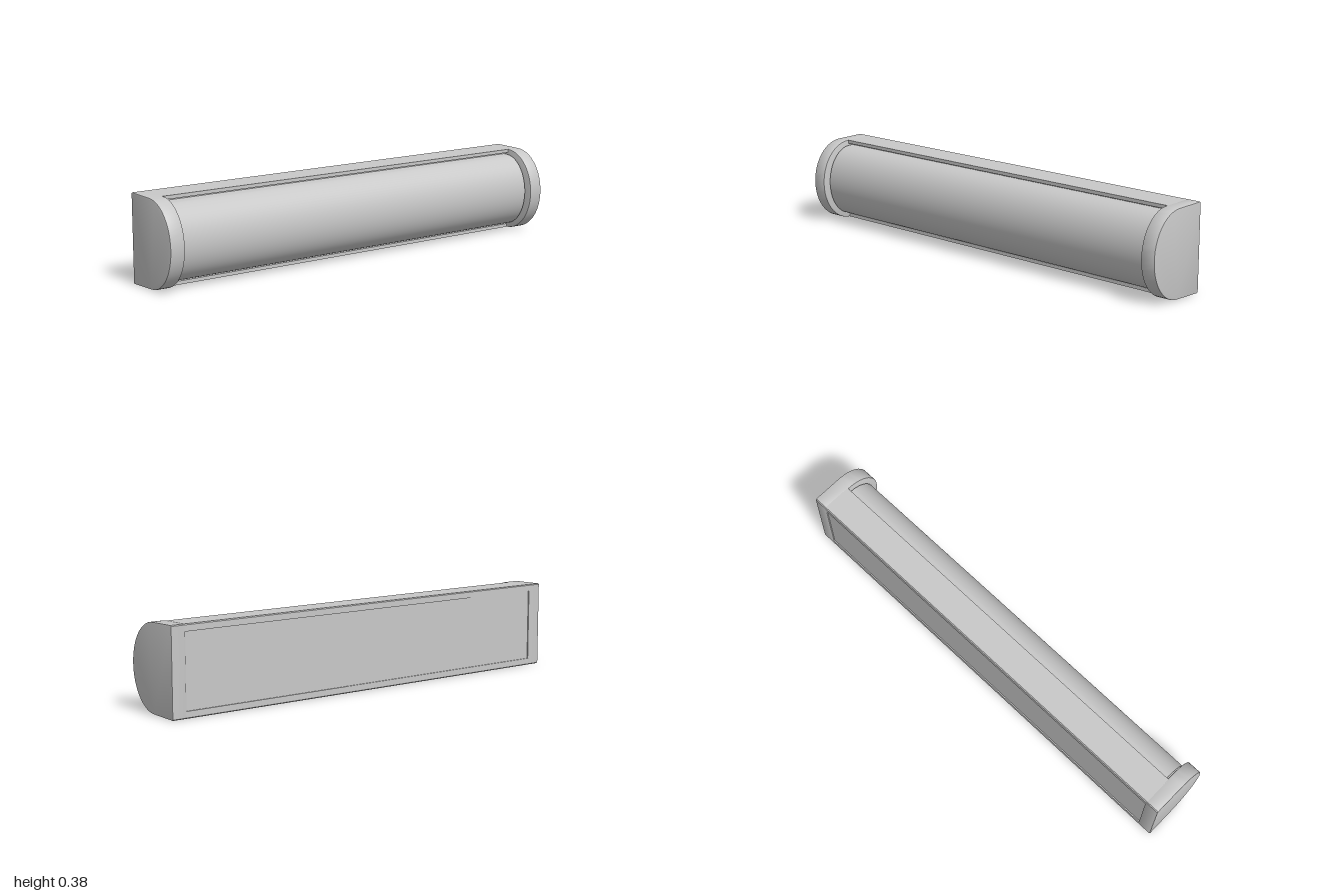
import * as THREE from 'three';
import { toCreasedNormals } from 'three/addons/utils/BufferGeometryUtils.js';

const MID = 0.1875;      // mid height of the lamp
const SHOULDER = -0.01;  // z where the rounded front begins
const BACK = -0.145;

// Half-ellipse in [z, y], from bottom to top, bulging towards +z
function arc(ry, rz, steps) {
  const pts = [];
  for (let i = 0; i <= steps; i++) {
    const a = -Math.PI / 2 + (Math.PI * i) / steps;
    pts.push([SHOULDER + rz * Math.cos(a), MID + ry * Math.sin(a)]);
  }
  return pts;
}

// Extrudes a [z, y] outline along x, from x0 to x1
function extrudeX(points, x0, x1, bevel = 0) {
  const shape = new THREE.Shape(points.map(([z, y]) => new THREE.Vector2(-z, y)));
  const geo = new THREE.ExtrudeGeometry(shape, {
    depth: x1 - x0 - 2 * bevel,
    bevelEnabled: bevel > 0,
    bevelSize: bevel,
    bevelThickness: bevel,
    bevelOffset: -bevel,
    bevelSegments: 2,
  });
  geo.translate(0, 0, x0 + bevel);
  geo.rotateY(Math.PI / 2);
  return toCreasedNormals(geo, 0.5);
}

export function createModel() {
  const group = new THREE.Group();
  const grey = new THREE.MeshStandardMaterial({ color: 0xc8c8c8 });
  grey.name = 'light grey';

  const add = (name, geo) => {
    const mesh = new THREE.Mesh(geo, grey);
    mesh.name = name;
    group.add(mesh);
  };

  // Long housing: shallow panel in the back, tray with two lips in front
  const lower = [
    [BACK + 0.005, 0.03], [BACK, 0.03], [BACK, 0.004], [BACK + 0.004, 0],
    [SHOULDER, 0.003], [SHOULDER, 0.018], [SHOULDER - 0.02, 0.018],
  ];
  const upper = lower.map(([z, y]) => [z, 2 * MID - y]).reverse();
  add('housing', extrudeX([...lower, ...upper], -0.94, 0.94));

  // Rounded light cover, set in with a narrow gap around it
  const cover = arc(0.162, 0.125, 40);
  add('cover', extrudeX([[-0.04, MID - 0.162], ...cover, [-0.04, MID + 0.162]], -0.927, 0.927));

  // D-shaped end caps
  const cap = [
    [BACK, 0.004], [BACK + 0.004, 0], ...arc(0.1845, 0.155, 26),
    [BACK + 0.004, 2 * MID], [BACK, 2 * MID - 0.004],
  ];
  add('leftEndCap', extrudeX(cap, 0.935, 1, 0.003));
  add('rightEndCap', extrudeX(cap, -1, -0.935, 0.003));

  return group;
}
